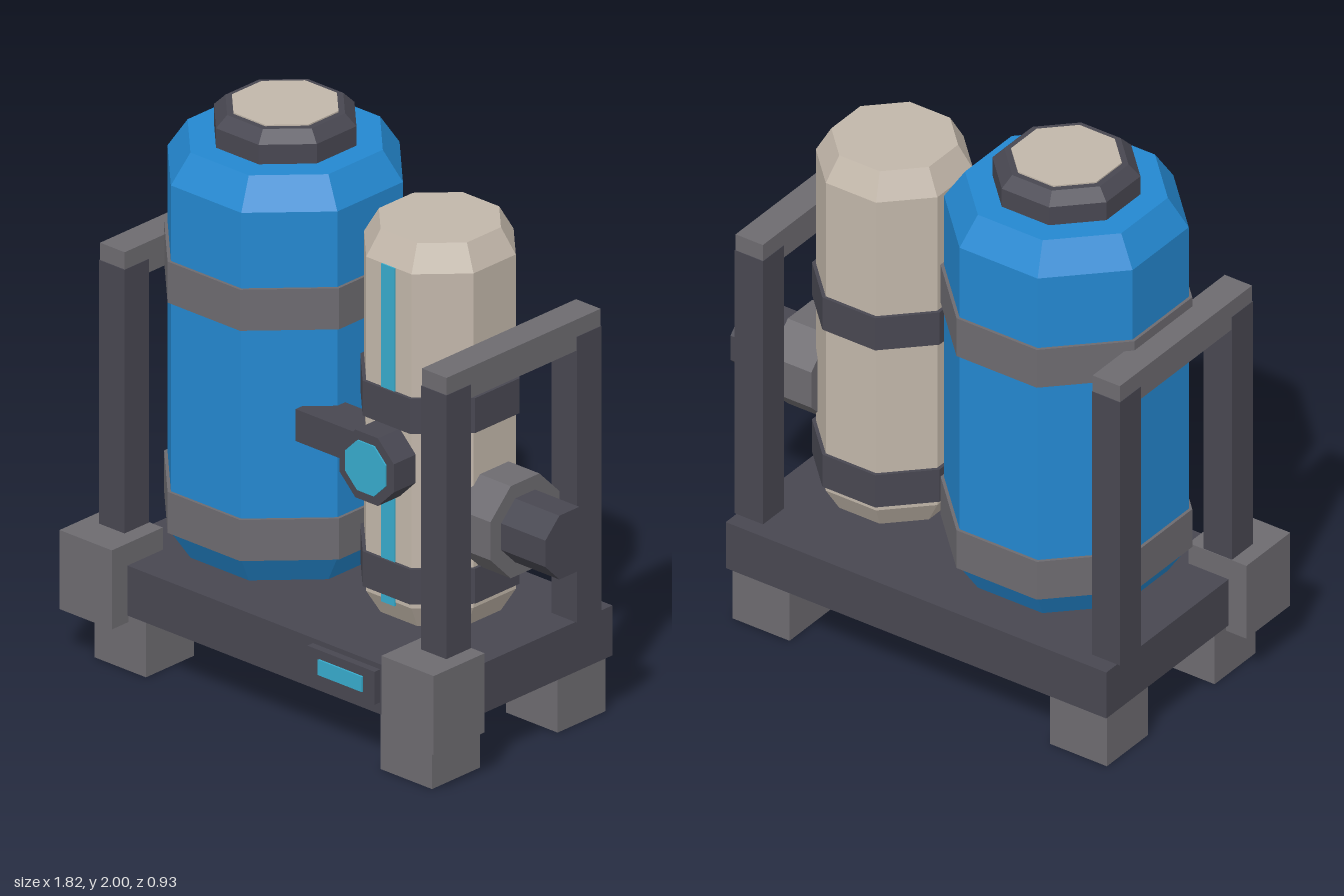
import * as THREE from 'three';

export function createModel() {
  const root = new THREE.Group();
  root.name = 'twinTankUnit';

  const mat = (name, color) => {
    const m = new THREE.MeshStandardMaterial({ color });
    m.name = name;
    return m;
  };
  const dark = mat('dark frame', 0x484751);
  const grey = mat('grey metal', 0x6d6b70);
  const blue = mat('blue paint', 0x2488d0);
  const beige = mat('beige paint', 0xc2b7aa);
  const cyan = mat('cyan light', 0x38abcc);

  const add = (name, geometry, material, parent = root) => {
    const mesh = new THREE.Mesh(geometry, material);
    mesh.name = name;
    parent.add(mesh);
    return mesh;
  };

  // Box given by its extents along each axis
  const box = (name, material, [x0, x1], [y0, y1], [z0, z1], parent) => {
    const mesh = add(name, new THREE.BoxGeometry(x1 - x0, y1 - y0, z1 - z0), material, parent);
    mesh.position.set((x0 + x1) / 2, (y0 + y1) / 2, (z0 + z1) / 2);
    return mesh;
  };

  // Faceted octagonal solid about y; points are [distance to flat, y]
  const octagon = (name, material, points, parent) => {
    const k = 1 / Math.cos(Math.PI / 8);
    const profile = [[0, points[0][1]], ...points, [0, points[points.length - 1][1]]]
      .map(([r, y]) => new THREE.Vector2(r * k, y));
    const geometry = new THREE.LatheGeometry(profile, 8, Math.PI / 8).toNonIndexed();
    geometry.computeVertexNormals();
    return add(name, geometry, material, parent);
  };
  const prism = (name, material, r, y0, y1, parent) =>
    octagon(name, material, [[r, y0], [r, y1]], parent);

  // Base
  box('basePlatform', dark, [-0.84, 0.695], [0.2, 0.38], [-0.465, 0.39]);
  for (const x of [-0.715, 0.565]) {
    for (const z of [0.27, -0.333]) {
      box('foot', grey, [x - 0.115, x + 0.115], [0, 0.2], [z - 0.115, z + 0.115]);
    }
  }

  // Side guards: front corner block, two posts and a top rail
  for (const x of [-0.795, 0.645]) {
    box('cornerBlock', grey, [x - 0.117, x + 0.117], [0.175, 0.46], [0.22, 0.465]);
    box('frontPost', dark, [x - 0.057, x + 0.057], [0.38, 1.41], [0.222, 0.34]);
    box('backPost', dark, [x - 0.057, x + 0.057], [0.38, 1.41], [-0.405, -0.287]);
    box('topRail', grey, [x - 0.055, x + 0.055], [1.36, 1.472], [-0.403, 0.337]);
  }

  // Large tank
  const large = new THREE.Group();
  large.name = 'largeTank';
  large.position.set(-0.373, 0, -0.04);
  root.add(large);
  octagon('largeBody', blue, [[0.315, 0.425], [0.38, 0.53], [0.38, 1.78], [0.315, 1.885]], large);
  for (const y of [0.53, 1.36]) prism('largeBand', grey, 0.391, y, y + 0.148, large);
  octagon('cap', dark, [[0.23, 1.86], [0.23, 1.955], [0.193, 1.995]], large);
  prism('capDisc', beige, 0.172, 1.992, 2, large);

  // Small tank
  const small = new THREE.Group();
  small.name = 'smallTank';
  small.position.set(0.322, 0, -0.037);
  root.add(small);
  octagon('smallBody', beige, [[0.197, 0.425], [0.245, 0.51], [0.245, 1.715], [0.197, 1.805]], small);
  for (const y of [0.53, 1.145]) prism('smallBand', dark, 0.257, y, y + 0.126, small);
  box('levelStripe', cyan, [-0.03, 0.03], [0.497, 1.715], [0.243, 0.25], small);

  // Gauge facing the front, with its connecting pipe
  const gauge = new THREE.Group();
  gauge.name = 'gauge';
  gauge.position.set(0.322, 1.022, 0);
  gauge.rotation.x = Math.PI / 2;
  root.add(gauge);
  prism('gaugeBody', dark, 0.122, 0.21, 0.315, gauge);
  prism('gaugeFace', cyan, 0.09, 0.313, 0.321, gauge);
  box('connectingPipe', dark, [-0.075, 0.19], [0.965, 1.08], [0.08, 0.23]);

  // Outlet valve on the left side
  const valve = new THREE.Group();
  valve.name = 'outletValve';
  valve.position.set(0, 0.815, -0.035);
  valve.rotation.z = -Math.PI / 2;
  root.add(valve);
  prism('valveFlange', grey, 0.166, 0.54, 0.705, valve);
  prism('valveHub', dark, 0.115, 0.7, 0.903, valve);

  // Indicator on the front of the base
  box('indicatorPanel', dark, [0.152, 0.453], [0.243, 0.362], [0.38, 0.417]);
  box('indicatorLight', cyan, [0.205, 0.402], [0.275, 0.33], [0.416, 0.424]);

  return root;
}
